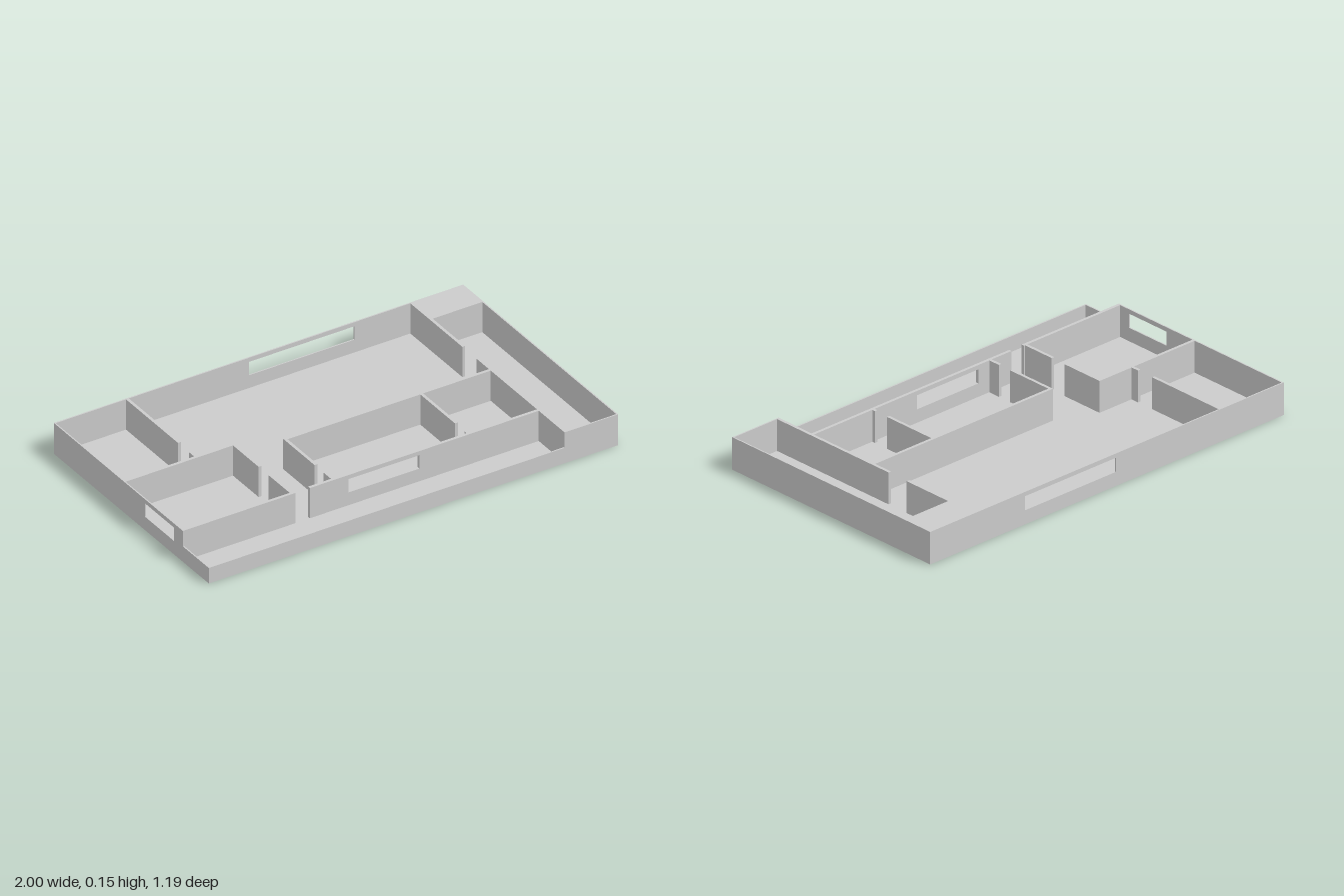
import * as THREE from 'three';

const material = new THREE.MeshStandardMaterial({ color: 0xcccccc, flatShading: true });
const HALF_X = 1, HALF_Z = 0.596;      // footprint
const FULL = 0.15, LOW = 0.075;        // wall heights
const FLOOR = 0.003, OUTER = 0.006, INNER = 0.014;
const SILL = 0.065, LINTEL = 0.13;     // window opening

// Box standing on the floor between two plan corners
function block(group, name, x0, x1, z0, z1, top = FULL, bottom = 0) {
  const geometry = new THREE.BoxGeometry(x1 - x0, top - bottom, z1 - z0);
  geometry.translate((x0 + x1) / 2, (top + bottom) / 2, (z0 + z1) / 2);
  const mesh = new THREE.Mesh(geometry, material);
  mesh.name = name;
  group.add(mesh);
}

// Wall of the given thickness with one rectangular opening, running along local x
function windowWall(group, name, from, to, winFrom, winTo, thickness) {
  const shape = new THREE.Shape();
  shape.moveTo(from, 0).lineTo(to, 0).lineTo(to, FULL).lineTo(from, FULL).closePath();
  const hole = new THREE.Path();
  hole.moveTo(winFrom, SILL).lineTo(winFrom, LINTEL).lineTo(winTo, LINTEL).lineTo(winTo, SILL).closePath();
  shape.holes.push(hole);
  const geometry = new THREE.ExtrudeGeometry(shape, { depth: thickness, bevelEnabled: false });
  const mesh = new THREE.Mesh(geometry, material);
  mesh.name = name;
  group.add(mesh);
  return mesh;
}

export function createModel() {
  const model = new THREE.Group();
  model.name = 'floorPlan';

  block(model, 'floor', -HALF_X, HALF_X, -HALF_Z, HALF_Z, FLOOR);

  // Outer walls
  const outer = new THREE.Group();
  outer.name = 'outerWalls';
  model.add(outer);
  windowWall(outer, 'backWall', -HALF_X, HALF_X, -0.05, 0.465, OUTER).position.z = -HALF_Z;
  block(outer, 'leftWall', HALF_X - OUTER, HALF_X, -HALF_Z, HALF_Z);
  block(outer, 'frontWall', 0.74, HALF_X, HALF_Z - OUTER, HALF_Z);
  // turned so that local x becomes -z
  const side = windowWall(outer, 'rightWall', -0.397, HALF_Z, -0.33, -0.105, OUTER);
  side.rotation.y = Math.PI / 2;
  side.position.x = -HALF_X;

  // Low parapet round the balcony
  block(outer, 'frontParapet', -HALF_X, 0.74, HALF_Z - OUTER, HALF_Z, LOW);
  block(outer, 'sideParapet', -HALF_X, -HALF_X + OUTER, 0.397, HALF_Z, LOW);

  // Solid shaft in the back corner
  block(model, 'cornerShaft', 0.752, HALF_X, -HALF_Z, -0.44);

  // Partitions
  const inner = new THREE.Group();
  inner.name = 'innerWalls';
  model.add(inner);

  // Along x: [z, x from, x to]
  for (const [z, x0, x1] of [
    [-0.066, -HALF_X, -0.456],
    [0.383, -HALF_X, -0.45],
    [0.014, -0.268, 0.738],
  ]) block(inner, 'crossWall', x0, x1, z, z + INNER);
  windowWall(inner, 'balconyWindowWall', -0.38, 0.738, -0.192, 0.155, INNER).position.z = 0.383;

  // Along z, broken by doorways: [x, z from, z to]
  for (const [x, z0, z1] of [
    [-0.651, -HALF_Z, -0.19], [-0.651, -0.105, -0.066],
    [-0.47, -0.066, 0.145], [-0.47, 0.222, 0.383],
    [-0.268, 0.014, 0.257], [-0.268, 0.325, 0.383],
    [0.394, 0.028, 0.295], [0.394, 0.367, 0.383],
    [0.738, -HALF_Z, -0.19], [0.738, -0.082, HALF_Z],
  ]) block(inner, 'lengthWall', x, x + INNER, z0, z1);

  return model;
}
